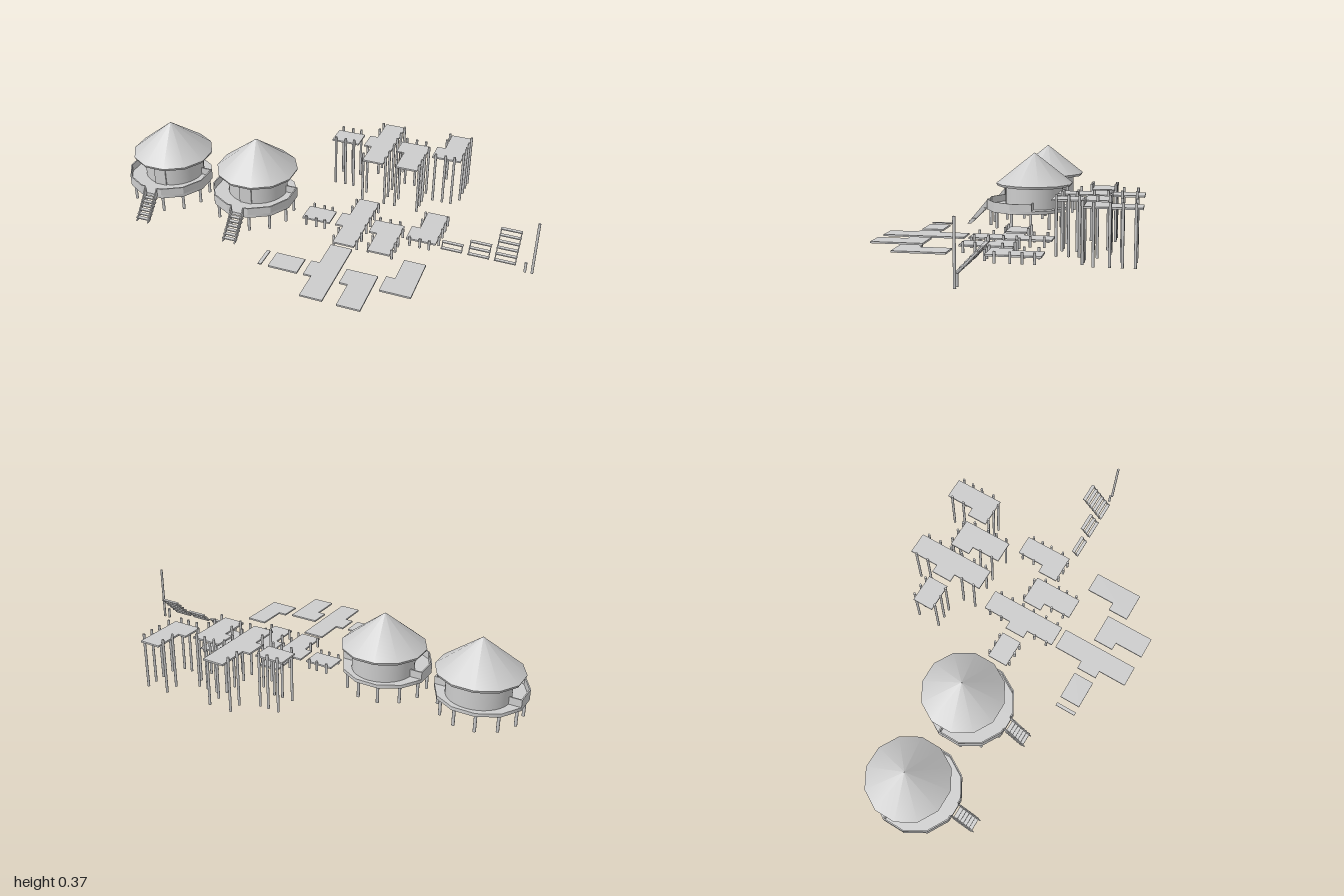
import * as THREE from 'three';

const grey = new THREE.MeshStandardMaterial({ color: 0xcccccc });
grey.name = 'plain grey';

function add(parent, name, geometry, x = 0, y = 0, z = 0) {
  const mesh = new THREE.Mesh(geometry, grey);
  mesh.name = name;
  mesh.position.set(x, y, z);
  parent.add(mesh);
  return mesh;
}

function group(parent, name, x = 0, y = 0, z = 0) {
  const g = new THREE.Group();
  g.name = name;
  g.position.set(x, y, z);
  parent.add(g);
  return g;
}

const box = (w, h, d) => new THREE.BoxGeometry(w, h, d);

// Twelve-sided drum with flat sides facing the axes; r is measured to the flats
function drum(rTop, rBottom, height, open = false) {
  const k = 1 / Math.cos(Math.PI / 12);
  return new THREE.CylinderGeometry(rTop * k, rBottom * k, height, 12, 1, open, Math.PI / 12);
}

// Round post standing on the ground
function post(parent, name, x, z, height, r = 0.006) {
  add(parent, name, new THREE.CylinderGeometry(r, r, height, 10), x, height / 2, z);
}

// Side board drawn as [z, y] points, given a thickness along x
function sideBoard(parent, name, points, x, thickness) {
  const shape = new THREE.Shape(points.map(p => new THREE.Vector2(...p)));
  const geo = new THREE.ExtrudeGeometry(shape, { depth: thickness, bevelEnabled: false });
  geo.rotateY(-Math.PI / 2);
  geo.translate(thickness / 2, 0, 0);
  add(parent, name, geo, x);
}

function hut(parent, x) {
  const g = group(parent, 'hut', x);
  const zRoom = -0.013, zFloor = 0.0235, R = 0.197;

  // Room and roof
  add(g, 'roundWall', new THREE.CylinderGeometry(0.142, 0.142, 0.11, 36), 0, 0.151, zRoom);
  add(g, 'roof', drum(0, 0.187, 0.152, true), 0, 0.291, zRoom);
  add(g, 'eave', drum(0.187, 0.182, 0.012), 0, 0.209, zRoom);
  add(g, 'door', box(0.06, 0.09, 0.006), 0, 0.14, 0.129);

  // Platform on twelve stilts
  add(g, 'platform', drum(R, R, 0.016), 0, 0.089, zFloor);
  for (let i = 0; i < 12; i++) {
    const a = (i + 0.5) * Math.PI / 6;
    post(g, 'stilt', 0.185 * Math.sin(a), zFloor + 0.185 * Math.cos(a), 0.083, 0.007);
  }

  // Parapet around the front half, open at the stairs
  const side = 2 * R * Math.tan(Math.PI / 12), t = 0.006, gap = 0.064;
  for (let i = -3; i <= 3; i++) {
    const turn = group(g, 'parapetSide', 0, 0.114, zFloor);
    turn.rotation.y = i * Math.PI / 6;
    if (i) add(turn, 'parapet', box(side, 0.036, t), 0, 0, R - t / 2);
    else for (const s of [-1, 1]) {
      const w = (side - gap) / 2;
      add(turn, 'parapet', box(w, 0.036, t), s * (gap + w) / 2, 0, R - t / 2);
    }
  }
  for (const s of [-1, 1]) {
    add(g, 'parapetEnd', box(0.06, 0.036, t), s * 0.167, 0.114, -0.027);
  }

  // Entrance stairs
  for (const s of [-1, 1]) {
    sideBoard(g, 'stairSide', [[0.22, 0.092], [0.31, 0], [0.33, 0], [0.22, 0.132]], s * 0.029, 0.005);
  }
  for (let i = 0; i < 6; i++) {
    add(g, 'stairTread', box(0.07, 0.005, 0.018), 0, 0.012 + i * 0.014, 0.312 - i * 0.015);
  }
}

// Deck outlines as [x, z], with [x, z] positions of the posts beside them
const cross = (xs, zs) => xs.flatMap(x => zs.map(z => [x, z]));
const decks = [
  {
    outline: [[-0.088, -0.443], [0.048, -0.443], [0.048, -0.343], [-0.088, -0.343]],
    posts: cross([-0.067, -0.016, 0.027], [-0.448, -0.338]),
  },
  {
    outline: [[0.115, -0.586], [0.217, -0.586], [0.217, -0.209], [0.115, -0.209],
      [0.115, -0.345], [0.077, -0.345], [0.077, -0.444], [0.115, -0.444]],
    posts: [...cross([0.11, 0.222], [-0.553, -0.49, -0.302, -0.237]), ...cross([0.222], [-0.43, -0.37])],
  },
  {
    outline: [[0.243, -0.444], [0.385, -0.444], [0.385, -0.206], [0.281, -0.206],
      [0.281, -0.345], [0.243, -0.345]],
    posts: [...cross([0.265, 0.315, 0.361], [-0.449]), ...cross([0.276], [-0.302, -0.237]),
      ...cross([0.39], [-0.4, -0.325, -0.28, -0.227])],
  },
  {
    outline: [[0.457, -0.594], [0.556, -0.594], [0.556, -0.358], [0.417, -0.358],
      [0.417, -0.457], [0.457, -0.457]],
    posts: [...cross([0.452], [-0.567, -0.505]), ...cross([0.561], [-0.567, -0.516, -0.465, -0.4]),
      ...cross([0.436, 0.484, 0.527], [-0.353])],
  },
];

function deckRow(parent, name, z, y, postHeight) {
  const row = group(parent, name, 0, 0, z);
  for (const d of decks) {
    const shape = new THREE.Shape(d.outline.map(([px, pz]) => new THREE.Vector2(px, -pz)));
    const geo = new THREE.ExtrudeGeometry(shape, { depth: 0.008, bevelEnabled: false });
    geo.rotateX(-Math.PI / 2);
    add(row, 'deck', geo, 0, y - 0.004, 0);
    if (postHeight) for (const [px, pz] of d.posts) post(row, 'deckPost', px, pz, postHeight);
  }
}

// Loose flight of steps rising towards the back
function steps(parent, x, count) {
  const g = group(parent, 'steps', x);
  const rise = 0.0205, run = 0.0195;
  for (let i = 0; i < count; i++) {
    add(g, 'step', box(0.096, 0.005, 0.016), 0, 0.04 + i * rise, 0.066 - i * run);
  }
  const n = count - 1, z1 = 0.066 - n * run, y1 = 0.04 + n * rise;
  for (const s of [-1, 1]) {
    sideBoard(g, 'stepSide', [[0.074, 0.036], [z1, y1 + 0.002], [z1 - 0.005, y1 - 0.002], [0.064, 0.036]],
      s * 0.045, 0.004);
  }
}

export function createModel() {
  const model = new THREE.Group();
  model.name = 'stiltVillage';

  for (const x of [-0.801, -0.346]) hut(model, x);

  // Tall walkways, low walkways and loose deck boards
  deckRow(model, 'tallWalkways', 0, 0.238, 0.263);
  deckRow(model, 'lowWalkways', 0.402, 0.03, 0.05);
  deckRow(model, 'looseDecks', 0.8, 0.03, 0);
  add(model, 'plank', box(0.016, 0.006, 0.1), -0.128, 0.032, 0.408);

  // Flights of steps in three lengths
  steps(model, 0.634, 2);
  steps(model, 0.756, 3);
  steps(model, 0.874, 6);

  // Loose posts
  post(model, 'shortPost', 0.963, 0.053, 0.05);
  post(model, 'tallPost', 0.994, 0.053, 0.264);

  return model;
}
